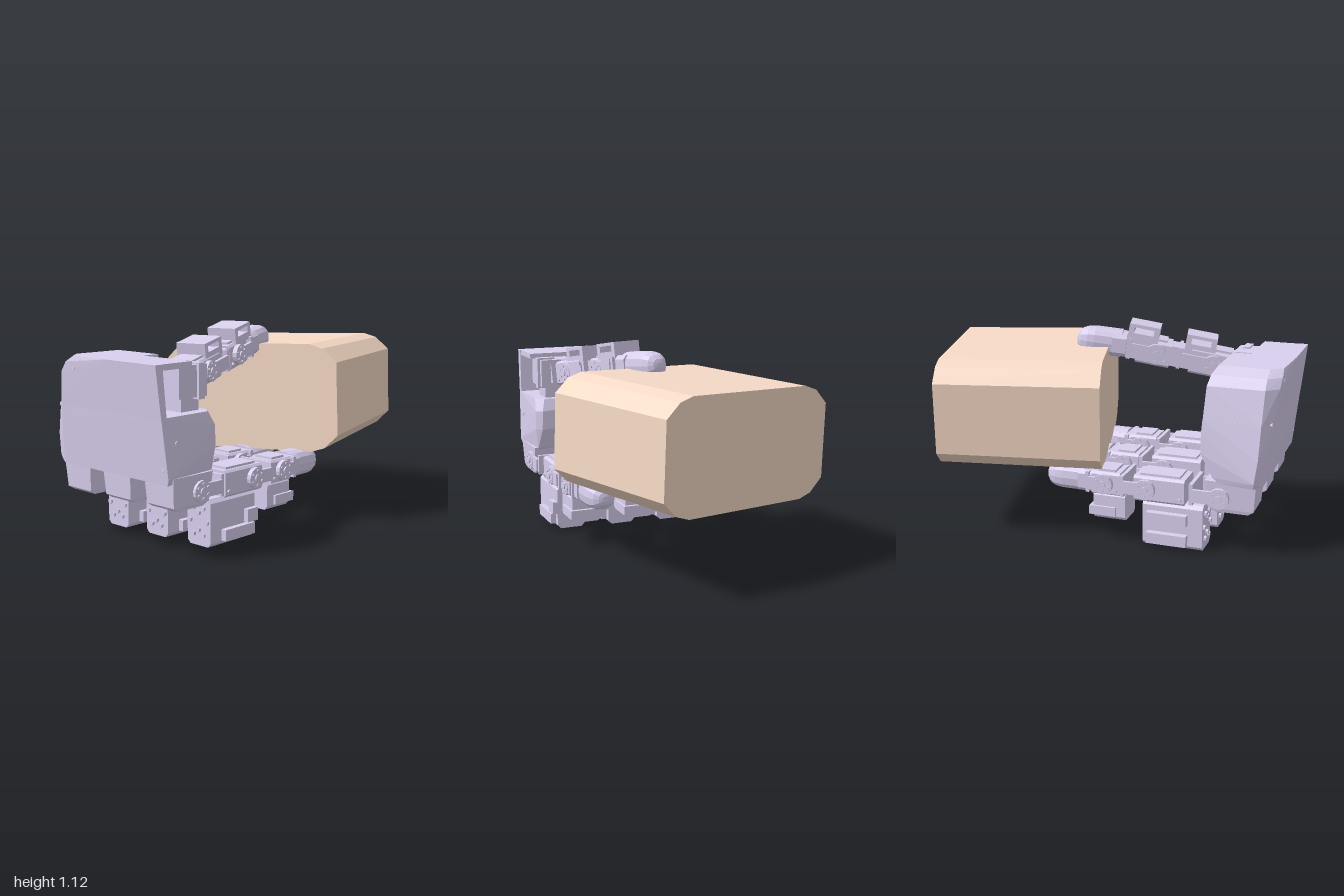
import * as THREE from 'three';
import { ConvexGeometry } from 'three/addons/geometries/ConvexGeometry.js';

const shell = new THREE.MeshStandardMaterial({ color: 0xd9cfee, flatShading: true });
const tan = new THREE.MeshStandardMaterial({ color: 0xf6dac6, flatShading: true });

function add(parent, name, geometry, material = shell) {
  const mesh = new THREE.Mesh(geometry, material);
  mesh.name = name;
  parent.add(mesh);
  return mesh;
}

// Box given by its limits on each axis
function box(parent, name, [x0, x1], [y0, y1], [z0, z1]) {
  const mesh = add(parent, name, new THREE.BoxGeometry(x1 - x0, y1 - y0, z1 - z0));
  mesh.position.set((x0 + x1) / 2, (y0 + y1) / 2, (z0 + z1) / 2);
  return mesh;
}

// Box with its long edges (along z) chamfered
function chamferBox(parent, name, w, [y0, y1], [z0, z1], c = 0.02) {
  const h = w / 2;
  const s = new THREE.Shape([
    [-h + c, y0], [h - c, y0], [h, y0 + c], [h, y1 - c],
    [h - c, y1], [-h + c, y1], [-h, y1 - c], [-h, y0 + c],
  ].map((p) => new THREE.Vector2(...p)));
  const g = new THREE.ExtrudeGeometry(s, { depth: z1 - z0, bevelEnabled: false });
  return add(parent, name, g.translate(0, 0, z0));
}

// Short cylinder along x or z
function disc(parent, name, r, len, axis, x, y, z, sides = 16) {
  const g = new THREE.CylinderGeometry(r, r, len, sides);
  if (axis === 'x') g.rotateZ(Math.PI / 2);
  else g.rotateX(Math.PI / 2);
  const mesh = add(parent, name, g);
  mesh.position.set(x, y, z);
  return mesh;
}

// Convex solid through horizontal rings: [height, [[x, z], ...]]
function hull(parent, name, rings) {
  const pts = rings.flatMap(([y, ring]) => ring.map(([x, z]) => new THREE.Vector3(x, y, z)));
  return add(parent, name, new ConvexGeometry(pts));
}

// Pivot: horns with bolts on both sides, side arms and a cross bar ahead of it
function yoke(parent, z, width, reach) {
  const g = new THREE.Group();
  g.name = 'joint';
  g.position.z = z;
  parent.add(g);
  for (const side of [-1, 1]) {
    const x = side * width / 2;
    disc(g, 'horn', 0.055, 0.025, 'x', x, 0, 0);
    disc(g, 'hub', 0.02, 0.04, 'x', x, 0, 0, 10);
    for (let i = 0; i < 6; i++) {
      const a = i * Math.PI / 3;
      disc(g, 'hornBolt', 0.008, 0.036, 'x', x, 0.038 * Math.cos(a), 0.038 * Math.sin(a), 6);
    }
    box(g, 'arm', [x - 0.009, x + 0.009], [-0.035, 0.035], [-reach, 0]);
  }
  box(g, 'crossBar', [-width / 2, width / 2], [-0.055, 0.06], [-reach - 0.02, -reach]);
}

// Servo body with a stepped lid and corner screws
function servo(parent, width, [y0, y1], [z0, z1]) {
  const g = new THREE.Group();
  g.name = 'servo';
  parent.add(g);
  chamferBox(g, 'servoBody', width, [y0, y1], [z0, z1], 0.012);
  box(g, 'servoLid', [-width * 0.36, width * 0.36], [y1 - 0.01, y1 + 0.012], [z0 + 0.03, z1 - 0.03]);
  for (const x of [-1, 1]) for (const z of [z0 + 0.025, z1 - 0.025])
    disc(g, 'servoScrew', 0.011, 0.02, 'x', x * width / 2, y0 + 0.03, z, 6);
}

// Blunt rounded fingertip pointing to -z, built from outlines at growing distance
function tip(parent, z0, length, r) {
  const pts = [];
  for (const [d, k] of [[0, 1], [0.6, 1], [0.76, 0.93], [0.9, 0.74], [0.98, 0.45], [1, 0.2]]) {
    for (let i = 0; i < 14; i++) {
      const a = i * Math.PI / 7;
      const soft = (v) => Math.sign(v) * Math.abs(v) ** 0.75;
      pts.push(new THREE.Vector3(soft(Math.cos(a)) * r * k, soft(Math.sin(a)) * r * 0.92 * k, z0 - d * length));
    }
  }
  add(parent, 'fingertip', new ConvexGeometry(pts));
  chamferBox(parent, 'fingertipSocket', r * 2.15, [-0.06, 0.06], [z0 - 0.05, z0 + 0.03]);
}

// Raised bracket with a slot right through it
function lug(parent, z0, z1) {
  const rect = (a, b, c, d) => [[a, c], [b, c], [b, d], [a, d]].map((p) => new THREE.Vector2(...p));
  const s = new THREE.Shape(rect(z0, z1, 0.05, 0.14));
  s.holes.push(new THREE.Path(rect(z0 + 0.03, z1 - 0.03, 0.09, 0.122)));
  const g = new THREE.ExtrudeGeometry(s, { depth: 0.17, bevelEnabled: false });
  add(parent, 'slottedBracket', g.rotateY(-Math.PI / 2).translate(0.085, 0, 0));
}

function makeFinger(u) {
  const f = new THREE.Group();
  f.name = 'finger';
  f.position.set(u, 0.33 + u * 0.03, 0);

  // knuckle under the palm
  hull(f, 'knuckle', [
    [0.09, [[-0.1, 0.83], [0.11, 0.83], [0.11, 0.56], [-0.1, 0.56]]],
    [-0.06, [[-0.09, 0.82], [0.1, 0.82], [0.1, 0.58], [-0.09, 0.58]]],
    [-0.08, [[-0.085, 0.79], [0.095, 0.79], [0.095, 0.62], [-0.085, 0.62]]],
  ]);
  yoke(f, 0.64, 0.22, 0.14);
  servo(f, 0.18, [-0.075, 0.065], [0.17, 0.45]);
  yoke(f, 0.24, 0.22, 0.12);
  servo(f, 0.17, [-0.07, 0.06], [-0.07, 0.09]);
  yoke(f, 0.0, 0.2, 0.08);
  tip(f, -0.1, 0.25, 0.082);

  // large motor hanging below, with mounting flanges and bolts
  chamferBox(f, 'lowerMotor', 0.165, [-0.32, -0.07], [0.22, 0.55]);
  box(f, 'motorFlange', [-0.12, 0.115], [-0.295, -0.235], [0.25, 0.47]);
  box(f, 'motorSide', [-0.12, 0], [-0.18, -0.12], [0.25, 0.47]);
  box(f, 'motorRib', [0, 0.11], [-0.23, -0.16], [0.22, 0.3]);
  for (const [x, y] of [[-0.035, -0.12], [0.035, -0.12], [0, -0.145], [-0.06, -0.19], [0.06, -0.19],
    [-0.035, -0.26], [0.035, -0.26], [0, -0.235]])
    disc(f, 'motorBolt', 0.015, 0.02, 'z', x, y, 0.553, 6);

  // smaller motor further along
  chamferBox(f, 'outerMotor', 0.17, [-0.205, -0.05], [-0.06, 0.12]);
  box(f, 'outerMotorFlange', [-0.1, 0.1], [-0.18, -0.13], [-0.08, 0.07]);
  return f;
}

function makePalm() {
  const palm = new THREE.Group();
  palm.name = 'palm';
  hull(palm, 'lowerPalm', [
    [0.4, [[-0.43, 0.82], [-0.36, 0.86], [0.43, 0.86], [0.41, 0.58], [-0.4, 0.64]]],
    [0.43, [[-0.44, 0.825], [-0.36, 0.862], [0.44, 0.862], [0.42, 0.55], [-0.4, 0.6]]],
    [0.55, [[-0.43, 0.84], [-0.36, 0.873], [0.435, 0.875], [0.435, 0.54], [0.405, 0.505], [-0.4, 0.535]]],
    [0.66, [[-0.41, 0.845], [-0.34, 0.887], [0.43, 0.888], [0.435, 0.54], [0.4, 0.51], [-0.395, 0.535]]],
    [0.73, [[-0.4, 0.845], [-0.33, 0.893], [0.43, 0.895], [0.425, 0.58], [0.38, 0.54], [-0.39, 0.54]]],
  ]);
  hull(palm, 'upperPalm', [
    [0.72, [[-0.4, 0.845], [-0.33, 0.893], [0.07, 0.893], [0.07, 0.535], [-0.39, 0.54]]],
    [0.9, [[-0.36, 0.85], [-0.3, 0.912], [0.07, 0.912], [0.07, 0.56], [-0.36, 0.55]]],
    [0.95, [[-0.32, 0.85], [-0.26, 0.916], [0.07, 0.918], [0.07, 0.57], [-0.31, 0.56]]],
    [0.985, [[-0.25, 0.85], [-0.2, 0.91], [0.07, 0.925], [0.07, 0.58], [-0.24, 0.58]]],
  ]);
  // thin walls around the thumb recess
  hull(palm, 'frontPlate', [
    [0.72, [[0.06, 0.893], [0.43, 0.895], [0.43, 0.86], [0.06, 0.86]]],
    [0.985, [[0.06, 0.925], [0.425, 0.925], [0.425, 0.88], [0.06, 0.88]]],
  ]);
  box(palm, 'topPlate', [0.06, 0.42], [0.955, 0.985], [0.68, 0.915]);
  for (const [x, y, z] of [[-0.2, 0.92, 0.912], [-0.34, 0.72, 0.885], [0.41, 0.48, 0.864]])
    disc(palm, 'plateScrew', 0.012, 0.012, 'z', x, y, z, 8);
  disc(palm, 'sideScrew', 0.012, 0.012, 'x', 0.435, 0.6, 0.8, 8);
  return palm;
}

function makeThumb() {
  const t = new THREE.Group();
  t.name = 'thumb';
  t.position.set(0.07, 0.87, 0.65);
  t.rotation.x = 0.175;
  yoke(t, 0.06, 0.24, 0.09);
  servo(t, 0.18, [-0.07, 0.07], [-0.31, -0.05]);
  yoke(t, -0.18, 0.21, 0.18);
  lug(t, -0.35, -0.18);
  box(t, 'thumbLink', [-0.075, 0.075], [-0.055, 0.055], [-0.46, -0.28]);
  servo(t, 0.17, [-0.07, 0.065], [-0.61, -0.42]);
  yoke(t, -0.5, 0.2, 0.14);
  lug(t, -0.67, -0.5);
  box(t, 'thumbTipLink', [-0.07, 0.07], [-0.055, 0.055], [-0.72, -0.58]);
  // the last segment is a little flatter than the rest
  const end = new THREE.Group();
  end.name = 'thumbEnd';
  end.position.set(0, 0.005, -0.68);
  end.rotation.x = -0.06;
  tip(end, -0.02, 0.25, 0.083);
  t.add(end);
  return t;
}

function makeBlock() {
  // chamfered block, narrowing slightly to the back
  const corner = [[0.54, 0.2], [0.46, 0.275], [0.38, 0.3]];
  const back = [...corner].reverse();
  const outline = [
    ...corner, ...back.map(([x, y]) => [-x, y]),
    ...corner.map(([x, y]) => [-x, -y]), ...back.map(([x, y]) => [x, -y]),
  ].map((p) => new THREE.Vector2(...p));
  const g = new THREE.ExtrudeGeometry(new THREE.Shape(outline), { depth: 0.88, bevelEnabled: false });
  g.translate(0, 0, -0.88);
  const p = g.attributes.position;
  for (let i = 0; i < p.count; i++) {
    const k = 1 + 0.04 * p.getZ(i);
    p.setXY(i, p.getX(i) * k, p.getY(i) * k);
  }
  const block = add(new THREE.Group(), 'heldBlock', g, tan);
  block.position.set(0.083, 0.69, -0.11);
  block.rotation.set(0.006, 0.016, 0.038);
  return block;
}

export function createModel() {
  const model = new THREE.Group();
  model.name = 'gripperWithBlock';

  const hand = new THREE.Group();
  hand.name = 'hand';
  hand.rotation.y = -0.245;
  hand.add(makePalm());
  for (const u of [-0.3, 0.015, 0.33]) hand.add(makeFinger(u));
  // thumb base motor in the recess
  box(hand, 'thumbBase', [0.2, 0.39], [0.8, 0.96], [0.55, 0.74]);
  box(hand, 'thumbBaseFlange', [0.3, 0.405], [0.79, 0.97], [0.58, 0.62]);
  box(hand, 'thumbPost', [0.16, 0.36], [0.7, 0.82], [0.58, 0.7]);

  model.add(hand, makeThumb(), makeBlock());
  return model;
}
